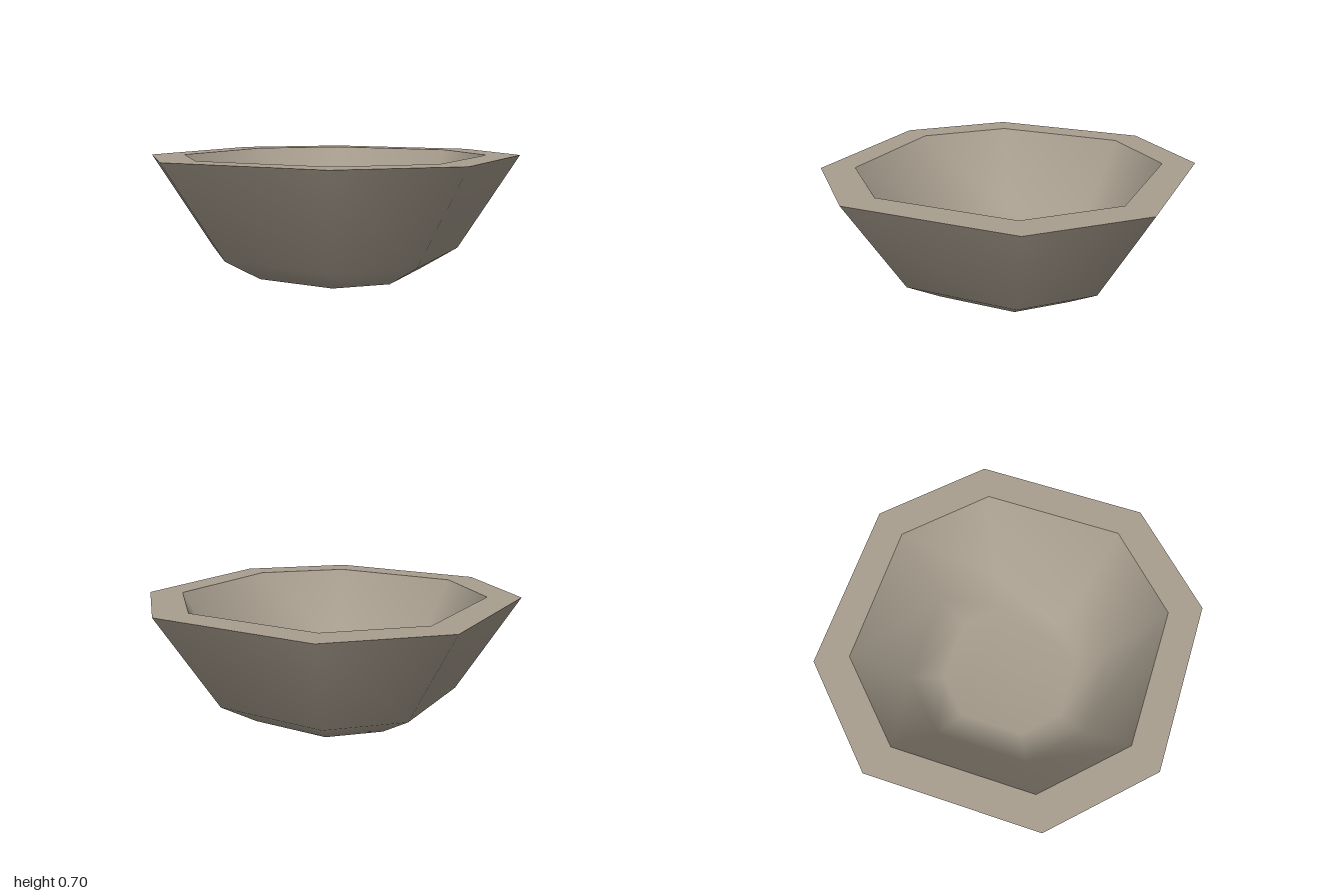
import * as THREE from 'three';

// Eight-sided cross-section: flat sides at distance r, corners cut at half of r
const CORNERS = [[1, -0.5], [1, 0.5], [0.5, 1], [-0.5, 1], [-1, 0.5], [-1, -0.5], [-0.5, -1], [0.5, -1]];

// Skin a list of [radius, height] rings; optionally close the first or last ring
function skin(rings, cap) {
  const positions = [];
  const index = [];
  const n = CORNERS.length;
  for (const [r, y] of rings) {
    for (const [x, z] of CORNERS) positions.push(x * r, y, z * r);
  }
  for (let k = 0; k < rings.length - 1; k++) {
    for (let i = 0; i < n; i++) {
      const j = (i + 1) % n;
      const a = k * n + i, b = k * n + j;
      index.push(a, b, a + n, b, b + n, a + n);
    }
  }
  const last = (rings.length - 1) * n;
  for (let i = 1; i < n - 1; i++) {
    if (cap === 'first') index.push(0, i + 1, i);
    if (cap === 'last') index.push(last, last + i, last + i + 1);
  }
  const geometry = new THREE.BufferGeometry();
  geometry.setAttribute('position', new THREE.Float32BufferAttribute(positions, 3));
  geometry.setIndex(index);
  geometry.computeVertexNormals();
  return geometry;
}

export function createModel() {
  const bowl = new THREE.Group();
  bowl.name = 'bowl';
  const clay = new THREE.MeshStandardMaterial({ color: 0xa89e8f });
  clay.name = 'clay';

  const add = (name, geometry) => {
    const mesh = new THREE.Mesh(geometry, clay);
    mesh.name = name;
    bowl.add(mesh);
  };

  // Hollow inside, from the floor up to the rim
  add('bowlInside', skin([[0.39, 0.1], [0.57, 0.2], [0.82, 0.7]], 'first'));
  // Flat rim
  add('rim', skin([[0.82, 0.7], [1, 0.7]]));
  // Outer wall, lower slope and base
  add('bowlOutside', skin([[1, 0.7], [0.675, 0.13], [0.475, 0]], 'last'));

  return bowl;
}
